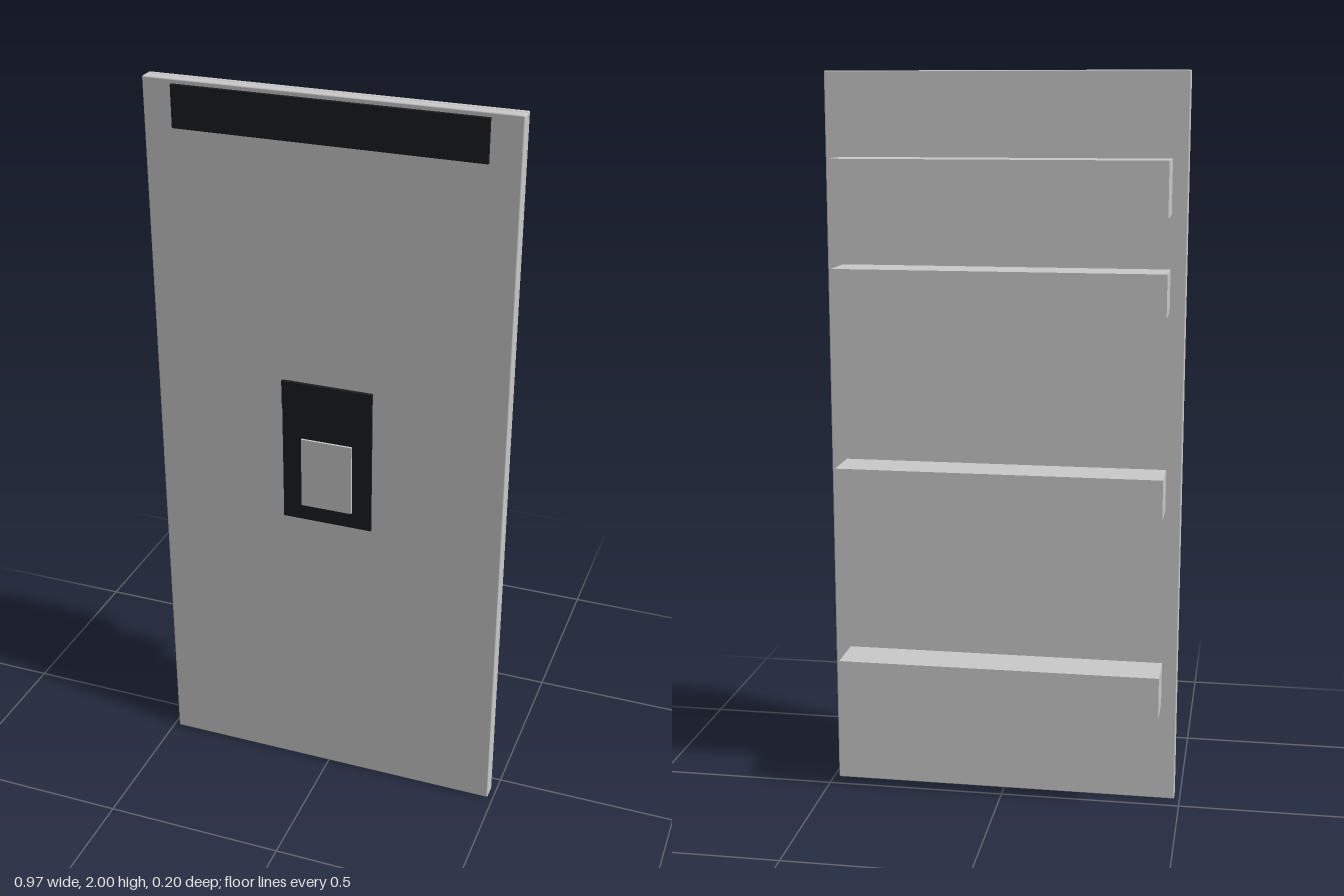
import * as THREE from 'three';
import { RoundedBoxGeometry } from 'three/addons/geometries/RoundedBoxGeometry.js';

const grey = new THREE.MeshStandardMaterial({ color: 0xcccccc });
const black = new THREE.MeshStandardMaterial({ color: 0x1b1d1f });

export function createModel() {
  const group = new THREE.Group();

  // Box centred on x, given by its half width and its y and z ranges
  function slab(name, halfWidth, y0, y1, z0, z1, material = grey, radius = 0) {
    const size = [halfWidth * 2, y1 - y0, z1 - z0];
    const geometry = radius
      ? new RoundedBoxGeometry(...size, 2, radius)
      : new THREE.BoxGeometry(...size);
    const mesh = new THREE.Mesh(geometry, material);
    mesh.name = name;
    mesh.position.set(0, (y0 + y1) / 2, (z0 + z1) / 2);
    group.add(mesh);
  }

  // Door: outer panel, thin seam and inner liner
  slab('outerPanel', 0.485, 0, 2, 0.059, 0.088, grey, 0.004);
  slab('panelSeam', 0.481, 0.004, 1.996, 0.056, 0.061);
  slab('innerLiner', 0.485, 0, 2, 0.045, 0.058, grey, 0.003);

  // Top control strip
  slab('controlStrip', 0.405, 1.878, 1.988, 0.087, 0.097, black);

  // Dispenser: back plate, header and recess panel
  slab('dispenserPlate', 0.125, 0.82, 1.23, 0.087, 0.094, black);
  slab('dispenserHeader', 0.125, 1.163, 1.23, 0.09, 0.098, black);
  slab('dispenserPanel', 0.071, 0.866, 1.067, 0.09, 0.1);

  // Storage bins on the inner side: bottom, top, rear depth
  const bins = [
    [0.28, 0.4, -0.082],
    [0.835, 0.948, -0.082],
    [1.375, 1.488, -0.082],
    [1.63, 1.775, -0.1],
  ];
  bins.forEach(([y0, y1, z], i) => slab(`doorBin${i + 1}`, 0.443, y0, y1, z, 0.047));

  return group;
}
